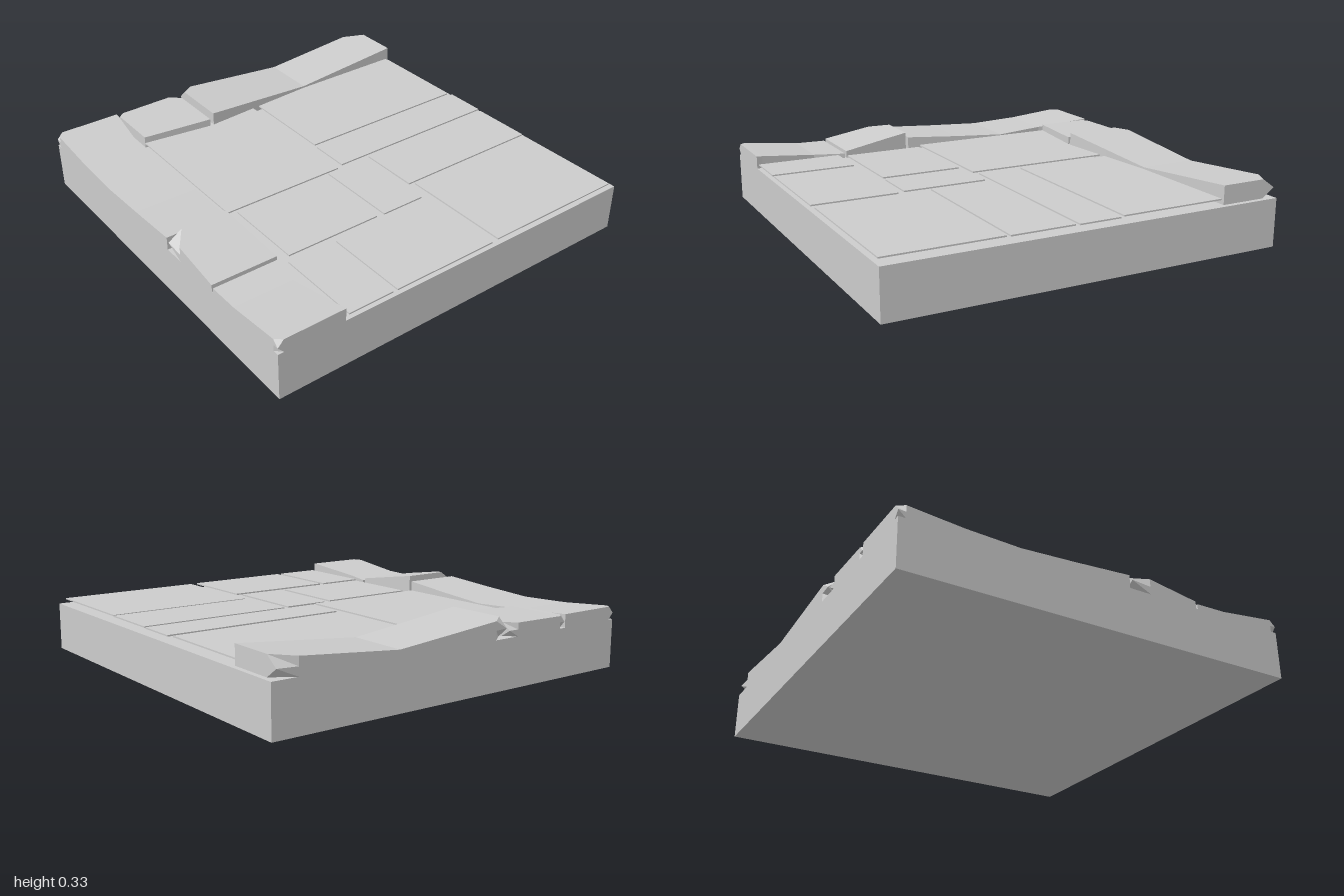
import * as THREE from 'three';

const material = new THREE.MeshStandardMaterial({ color: 0xcccccc, flatShading: true });
const BASE = 0.24;

// Kerb stone lofted from cross-sections along its length.
// Each section: [t along edge, inner edge, top height, inset of the chipped outer corner]
function kerbStone(name, sections, place) {
  const rings = sections.map(([t, inner, y, inset = 0]) => {
    const mid = BASE + (y - BASE) * 0.5;
    return [
      [-1 + inset, BASE], [-1, mid], [-1 + inset, y], [inner, y], [inner, BASE],
    ].map(([across, h]) => place(t, across, h));
  });
  const pos = [];
  const tri = (a, b, c) => pos.push(...a, ...b, ...c);
  const n = rings[0].length;
  for (let s = 0; s < rings.length - 1; s++) {
    for (let i = 0; i < n; i++) {
      const j = (i + 1) % n;
      const [a, b, c, d] = [rings[s][i], rings[s][j], rings[s + 1][j], rings[s + 1][i]];
      tri(a, b, c);
      tri(a, c, d);
    }
  }
  // end caps
  const first = rings[0], last = rings[rings.length - 1];
  for (let i = 1; i < n - 1; i++) {
    tri(first[0], first[i + 1], first[i]);
    tri(last[0], last[i], last[i + 1]);
  }
  const geo = new THREE.BufferGeometry();
  geo.setAttribute('position', new THREE.Float32BufferAttribute(pos, 3));
  geo.computeVertexNormals();
  const mesh = new THREE.Mesh(geo, material);
  mesh.name = name;
  return mesh;
}

// side stones run from front to back, back stones from left to right
const alongSide = (t, across, h) => [across, h, -t];
const alongBack = (t, across, h) => [t, h, across];

export function createModel() {
  const model = new THREE.Group();

  // slab
  const slab = new THREE.Mesh(new THREE.BoxGeometry(2, BASE, 2), material);
  slab.name = 'baseSlab';
  slab.position.y = BASE / 2;
  model.add(slab);

  // thin paving tiles: x0, x1, z0, z1
  const tiles = [
    [-0.65, 0, -0.72, 0.085],
    [0.04, 0.96, -0.72, -0.165],
    [0.035, 0.975, -0.14, 0.07],
    [0.19, 0.97, 0.09, 0.405],
    [0.215, 0.965, 0.42, 0.99],
    [-0.61, -0.11, 0.11, 0.525],
    [-0.07, 0.16, 0.10, 0.53],
    [-0.64, -0.405, 0.565, 0.995],
    [-0.38, 0.175, 0.565, 0.995],
  ];
  const paving = new THREE.Group();
  paving.name = 'pavingTiles';
  tiles.forEach(([x0, x1, z0, z1], i) => {
    const tile = new THREE.Mesh(new THREE.BoxGeometry(x1 - x0, 0.007, z1 - z0), material);
    tile.name = `tile${i + 1}`;
    tile.position.set((x0 + x1) / 2, 0.263, (z0 + z1) / 2);
    paving.add(tile);
  });
  model.add(paving);

  // raised, worn stones along the side and back edges
  model.add(
    kerbStone('sideStoneFront', [
      [-1, -0.66, 0.305, 0.03], [-0.97, -0.665, 0.302],
      [-0.68, -0.7, 0.268], [-0.52, -0.66, 0.265],
    ], alongSide),
    kerbStone('sideStoneMiddle', [
      [-0.51, -0.665, 0.276], [-0.25, -0.687, 0.318], [-0.15, -0.695, 0.333, 0.07],
    ], alongSide),
    kerbStone('sideStoneLong', [
      [-0.135, -0.695, 0.305], [0.15, -0.677, 0.285], [0.43, -0.66, 0.269],
      [0.7, -0.69, 0.279], [0.965, -0.658, 0.302], [1, -0.655, 0.305, 0.03],
    ], alongSide),
    kerbStone('backStoneShort', [
      [-0.65, -0.705, 0.3, 0.025], [-0.62, -0.7, 0.3],
      [-0.34, -0.662, 0.304], [-0.285, -0.655, 0.305, 0.05],
    ], alongBack),
    kerbStone('backStoneLong', [
      [-0.265, -0.655, 0.333, 0.05], [-0.2, -0.66, 0.327], [0.05, -0.68, 0.304],
      [0.36, -0.703, 0.276], [0.87, -0.705, 0.323], [0.975, -0.705, 0.333, 0.065],
    ], alongBack),
  );
  return model;
}
